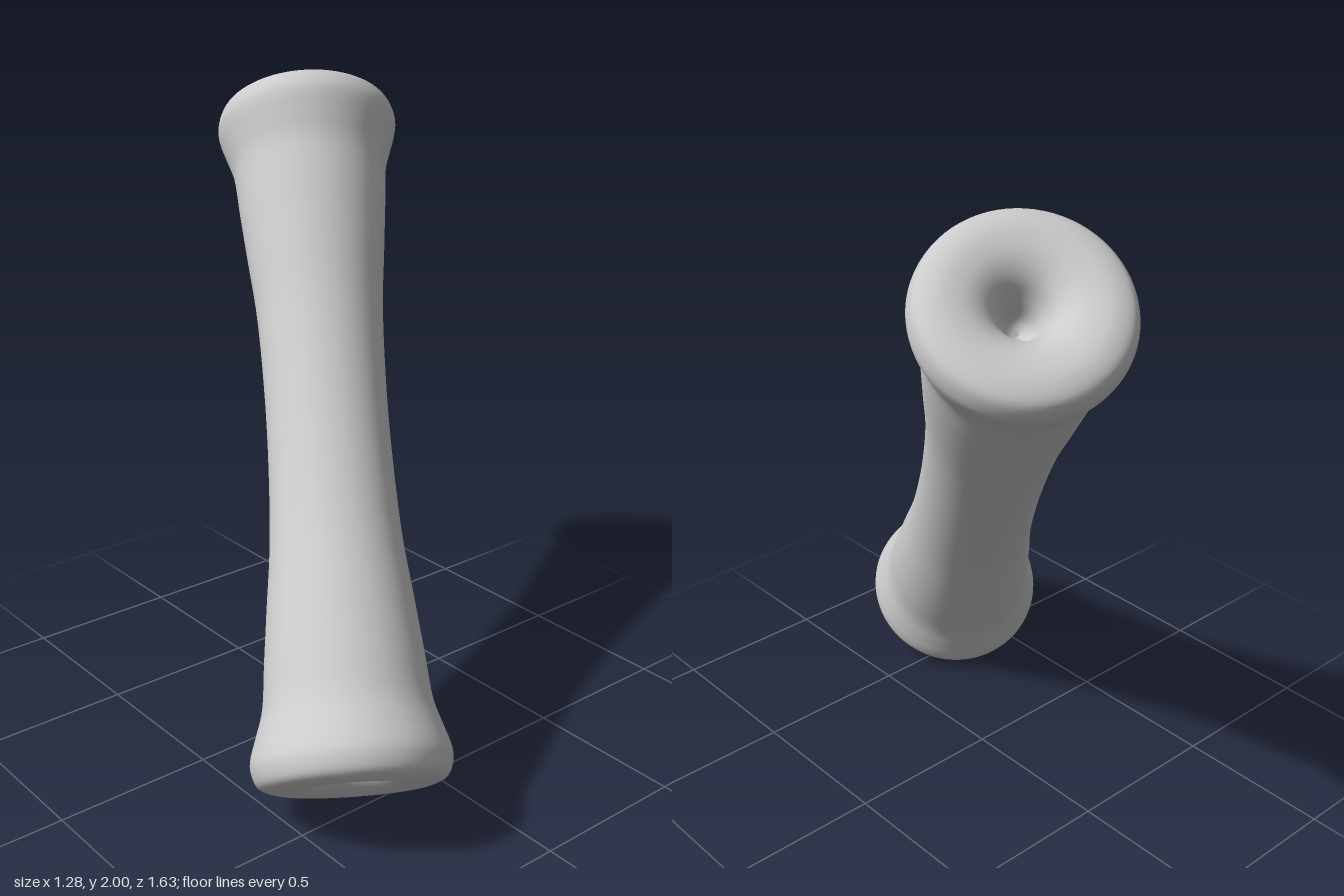
import * as THREE from 'three';

// Half profile as [radius, distance from the middle], waist to dimple
const HALF = [
  [0.197, 0.34], [0.219, 0.57], [0.235, 0.73], [0.247, 0.86], [0.270, 0.94],
  [0.287, 0.995], [0.290, 1.035], [0.272, 1.08], [0.228, 1.1], [0.18, 1.1],
  [0.128, 1.084], [0.085, 1.048], [0.055, 0.99], [0.032, 0.935], [0, 0.915],
];

export function createModel() {
  const group = new THREE.Group();
  group.name = 'flaredCylinder';

  // Mirror the half profile about the waist and smooth it
  const points = [
    ...HALF.slice().reverse().map(([r, s]) => new THREE.Vector2(r, -s)),
    new THREE.Vector2(0.188, 0),
    ...HALF.map(([r, s]) => new THREE.Vector2(r, s)),
  ];
  const profile = new THREE.SplineCurve(points).getPoints(150);
  profile.forEach((p) => { p.x = Math.max(0, p.x); });
  profile[0].x = 0;
  profile[profile.length - 1].x = 0;

  // Waisted body with rounded rims and a funnel dimple at each end
  const body = new THREE.Mesh(
    new THREE.LatheGeometry(profile, 72),
    new THREE.MeshStandardMaterial({ color: 0xcccccc }),
  );
  body.name = 'waistedBody';

  // Lean the axis towards the left, up and back
  const axis = new THREE.Vector3(0.353, 0.763, -0.541).normalize();
  body.quaternion.setFromUnitVectors(new THREE.Vector3(0, 1, 0), axis);
  body.position.y = 1;
  group.add(body);
  return group;
}
